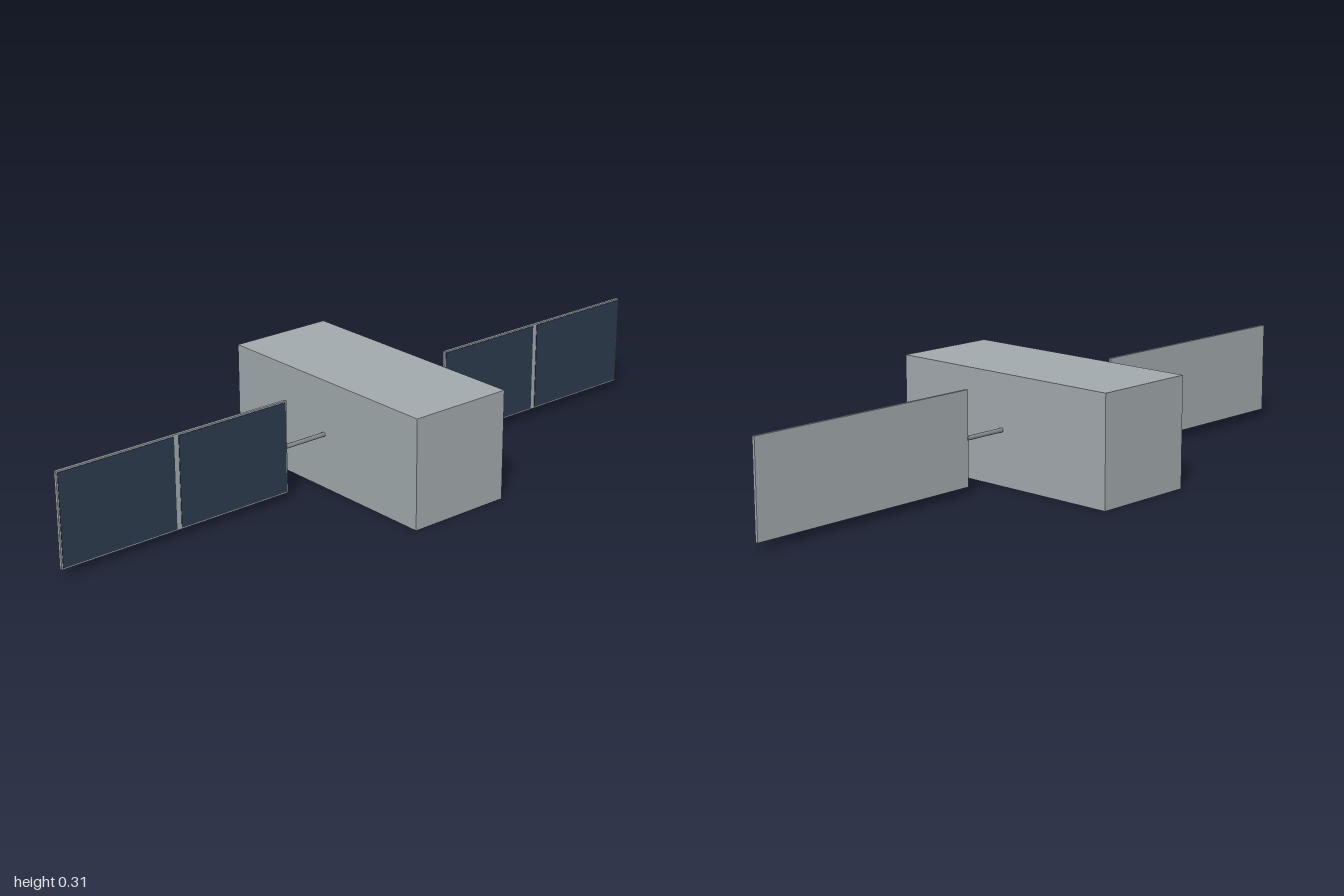
import * as THREE from 'three';

const material = (name, color) => {
  const m = new THREE.MeshStandardMaterial({ color });
  m.name = name;
  return m;
};

export function createModel() {
  const hull = material('hull grey', 0xa3abae);
  const metal = material('strut grey', 0x858c90);
  const navy = material('solar navy', 0x2d3b4e);

  const model = new THREE.Group();
  model.name = 'satellite';

  const add = (parent, name, geometry, mat, x, y, z) => {
    const mesh = new THREE.Mesh(geometry, mat);
    mesh.name = name;
    mesh.position.set(x, y, z);
    parent.add(mesh);
    return mesh;
  };

  // Main box
  const midY = 0.156;
  add(model, 'body', new THREE.BoxGeometry(0.31, 0.312, 0.74), hull, 0, midY, 0);

  // One wing on each side: strut, backing panel and two front cells
  for (const [side, label] of [[1, 'left'], [-1, 'right']]) {
    const wing = new THREE.Group();
    wing.name = label + 'Wing';
    model.add(wing);

    const strut = new THREE.CylinderGeometry(0.0065, 0.0065, 0.136, 8).rotateZ(Math.PI / 2);
    add(wing, 'strut', strut, metal, side * 0.219, midY, 0);

    add(wing, 'panel', new THREE.BoxGeometry(0.715, 0.264, 0.008), hull, side * 0.6425, midY, 0);

    for (const offset of [-0.1805, 0.1805]) {
      add(wing, 'solarCell', new THREE.BoxGeometry(0.346, 0.256, 0.002), navy,
        side * 0.6425 + offset, midY, 0.0045);
    }
  }
  return model;
}
